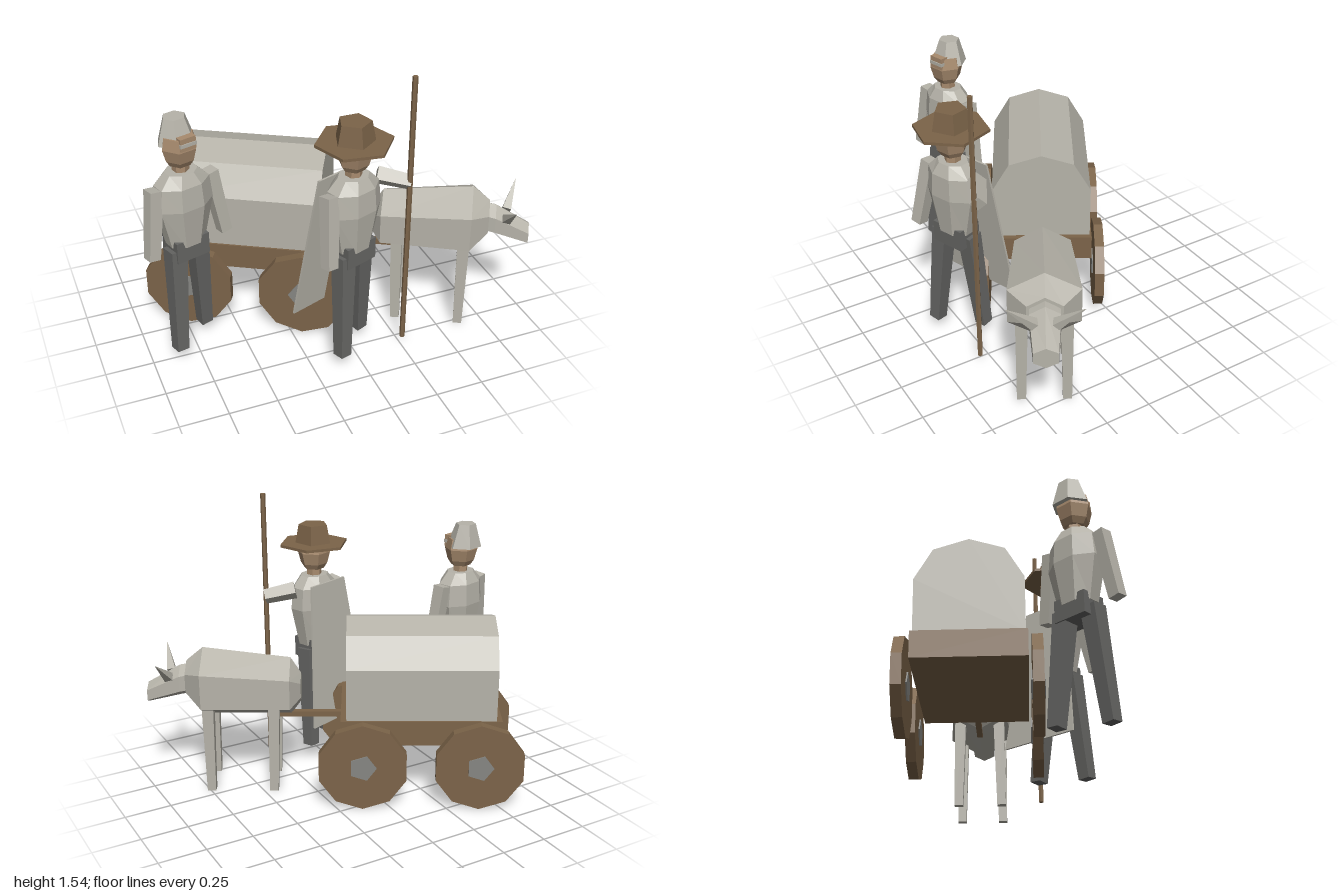
import * as THREE from 'three';

const mat = (name, color) => Object.assign(new THREE.MeshStandardMaterial({ color }), { name });

export function createModel() {
  const cloth = mat('pale cloth', 0xb6b3a9);
  const trousers = mat('dark trousers', 0x666664);
  const wood = mat('wood', 0x7c6449);
  const skin = mat('skin', 0xa88b6e);
  const iron = mat('iron', 0x868683);

  // Flat-faced mesh with a name
  const add = (parent, name, geo, material) => {
    const g = geo.index ? geo.toNonIndexed() : geo;
    g.computeVertexNormals();
    const m = new THREE.Mesh(g, material);
    m.name = name;
    parent.add(m);
    return m;
  };
  const group = (parent, name) => {
    const g = new THREE.Group();
    g.name = name;
    parent.add(g);
    return g;
  };

  // Capped solid through rings [y, rx, rz, offsetX, offsetZ]
  const loft = (rings, sides, phase = 0) => {
    const pts = [];
    const at = (i, j) => {
      const [y, rx, rz, ox = 0, oz = 0] = rings[i];
      const a = phase + (j / sides) * Math.PI * 2;
      return [ox + rx * Math.cos(a), y, oz + rz * Math.sin(a)];
    };
    const mid = ([y, , , ox = 0, oz = 0]) => [ox, y, oz];
    const last = rings.length - 1;
    for (let j = 0; j < sides; j++) {
      for (let i = 0; i < last; i++) {
        const a = at(i, j), b = at(i, j + 1), c = at(i + 1, j + 1), d = at(i + 1, j);
        pts.push(...a, ...d, ...c, ...a, ...c, ...b);
      }
      pts.push(...mid(rings[0]), ...at(0, j), ...at(0, j + 1));
      pts.push(...mid(rings[last]), ...at(last, j + 1), ...at(last, j));
    }
    const g = new THREE.BufferGeometry();
    g.setAttribute('position', new THREE.Float32BufferAttribute(pts, 3));
    return g;
  };

  // Tapered bar between two points, w = full width at each end
  const bar = (parent, name, from, to, w0, w1, material, sides = 4) => {
    const a = new THREE.Vector3(...from), b = new THREE.Vector3(...to);
    const dir = b.clone().sub(a), k = sides === 4 ? Math.SQRT1_2 : 0.5;
    const g = new THREE.CylinderGeometry(w1 * k, w0 * k, dir.length(), sides);
    if (sides === 4) g.rotateY(Math.PI / 4);
    const m = add(parent, name, g, material);
    m.position.copy(a).add(b).multiplyScalar(0.5);
    m.quaternion.setFromUnitVectors(new THREE.Vector3(0, 1, 0), dir.normalize());
    return m;
  };

  const model = new THREE.Group();
  model.name = 'travellers with ox wagon';

  // Wagon and ox share one line of travel
  const team = group(model, 'wagonTeam');
  team.position.set(-0.295, 0, -0.15);
  team.rotation.y = -Math.PI / 6;

  const wagon = group(team, 'wagon');
  add(wagon, 'wagonBed', new THREE.BoxGeometry(0.84, 0.135, 0.54).translate(0, 0.407, 0), wood);
  const arch = new THREE.Shape([[-0.26, 0.474], [0.26, 0.474], [0.26, 0.755], [0.17, 0.91],
    [0, 0.963], [-0.17, 0.91], [-0.26, 0.755]].map(p => new THREE.Vector2(...p)));
  add(wagon, 'wagonCover', new THREE.ExtrudeGeometry(arch, { depth: 0.78, bevelEnabled: false })
    .translate(0, 0, -0.39).rotateY(Math.PI / 2), cloth);
  for (const u of [-0.305, 0.305]) for (const v of [-0.31, 0.31]) {
    add(wagon, 'wheel', new THREE.CylinderGeometry(0.24, 0.24, 0.05, 10)
      .rotateX(Math.PI / 2).translate(u, 0.24, v), wood);
    add(wagon, 'wheelHub', new THREE.CylinderGeometry(0.073, 0.073, 0.064, 5)
      .rotateY(-Math.PI / 2).rotateX(Math.PI / 2).translate(u, 0.24, v), iron);
  }
  add(wagon, 'drawPole', new THREE.BoxGeometry(0.4, 0.03, 0.03).translate(0.59, 0.403, 0), wood);

  // Ox: rings run from rump to chest, laid along +x (offsetX becomes -height)
  const ox = group(team, 'ox');
  add(ox, 'oxBody', loft([[0.635, 0.08, 0.075, -0.56], [0.69, 0.163, 0.165, -0.565],
    [1.155, 0.19, 0.205, -0.595], [1.245, 0.1, 0.1, -0.61]], 6).rotateZ(-Math.PI / 2), cloth);
  add(ox, 'oxHead', loft([[1.17, 0.085, 0.08, -0.62], [1.28, 0.085, 0.085, -0.6],
    [1.455, 0.056, 0.068, -0.53]], 6).rotateZ(-Math.PI / 2), cloth);
  for (const s of [-1, 1]) {
    bar(ox, 'horn', [1.335, 0.63, s * 0.05], [1.375, 0.745, s * 0.18], 0.045, 0.002, cloth);
    bar(ox, 'rearLeg', [0.785, 0, s * 0.115], [0.775, 0.5, s * 0.105], 0.046, 0.06, cloth);
    bar(ox, 'frontLeg', [1.125, 0, s * 0.115], [1.125, 0.52, s * 0.11], 0.046, 0.062, cloth);
  }

  // Shared body of a walker; hands = [right, left]
  const person = (name, x, z, turn, hands) => {
    const p = group(model, name);
    p.position.set(x, 0, z);
    p.rotation.y = turn;
    add(p, 'torso', loft([[0.66, 0.105, 0.08], [0.88, 0.158, 0.108], [1.0, 0.145, 0.1],
      [1.06, 0.085, 0.07]], 8, Math.PI / 8), cloth);
    add(p, 'hips', new THREE.BoxGeometry(0.185, 0.115, 0.14).translate(0, 0.64, 0), trousers);
    add(p, 'neck', new THREE.CylinderGeometry(0.042, 0.042, 0.08, 6).translate(0, 1.07, 0), skin);
    add(p, 'head', loft([[1.095, 0.055, 0.055], [1.125, 0.075, 0.075], [1.19, 0.092, 0.092],
      [1.25, 0.08, 0.08]], 6), skin);
    [-1, 1].forEach((s, i) => {
      bar(p, 'leg', [s * 0.112, 0.065, -s * 0.06], [s * 0.072, 0.64, -s * 0.015], 0.064, 0.088, trousers);
      bar(p, 'arm', hands[i], [s * 0.155, 1.0, 0], 0.06, 0.07, cloth);
    });
    return p;
  };

  // Walker with the cap
  const capped = person('cappedWalker', -0.765, 0.17, 0.29, [[-0.21, 0.645, 0.03], [0.215, 0.645, 0.02]]);
  add(capped, 'cap', loft([[1.205, 0.1, 0.095, 0, -0.02], [1.335, 0.058, 0.054, 0, -0.028]], 6), cloth);
  add(capped, 'brow', new THREE.BoxGeometry(0.085, 0.065, 0.05).translate(0.005, 1.228, 0.055), skin);
  add(capped, 'capPeak', new THREE.BoxGeometry(0.09, 0.018, 0.03).translate(0.005, 1.225, 0.07), cloth);

  // Walker with wide hat, cape and staff
  const hatted = person('hattedWalker', -0.015, 0.52, 0.35, [[-0.205, 0.645, 0.06], [0.27, 0.965, 0.12]]);
  add(hatted, 'hatBrim', loft([[1.228, 0.193, 0.193], [1.243, 0.193, 0.193]], 6, 0.5), wood);
  add(hatted, 'hatCrown', loft([[1.243, 0.102, 0.102], [1.345, 0.082, 0.082]], 5, Math.PI / 2 + 0.35), wood);
  add(hatted, 'cape', loft([[0.24, 0.318, 0.008, 0, -0.19], [1.03, 0.19, 0.008, 0, -0.1]], 4, Math.PI / 4), cloth);
  bar(model, 'staff', [0.268, 0.03, 0.555], [0.268, 1.537, 0.555], 0.028, 0.028, wood, 6);

  return model;
}
